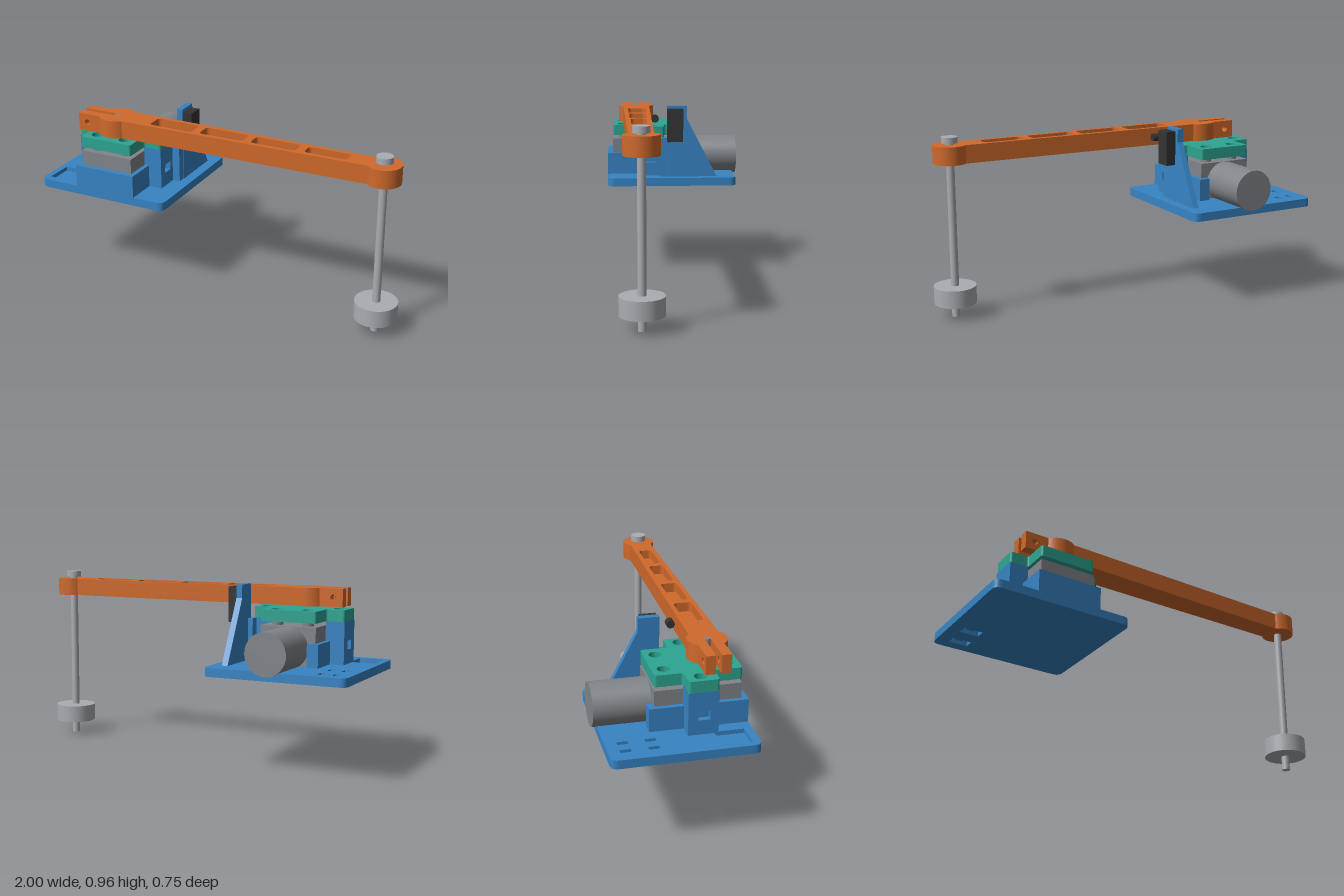
import * as THREE from 'three';

const mat = (name, color) => Object.assign(new THREE.MeshStandardMaterial({ color }), { name });

export function createModel() {
  const root = new THREE.Group();
  root.name = 'armMechanism';
  const blue = mat('blue', 0x3784c4), teal = mat('teal', 0x2da592), orange = mat('orange', 0xcf692b);
  const steel = mat('lightSteel', 0xa9adb2), grey = mat('darkGrey', 0x81858a), black = mat('black', 0x333333);

  const add = (name, geo, m) => {
    const mesh = new THREE.Mesh(geo, m);
    mesh.name = name;
    root.add(mesh);
    return mesh;
  };
  const box = (name, m, x0, x1, y0, y1, z0, z1) =>
    add(name, new THREE.BoxGeometry(x1 - x0, y1 - y0, z1 - z0), m)
      .position.set((x0 + x1) / 2, (y0 + y1) / 2, (z0 + z1) / 2);
  const post = (name, m, r, x, z, y0, y1) =>
    add(name, new THREE.CylinderGeometry(r, r, y1 - y0, 40), m).position.set(x, (y0 + y1) / 2, z);
  const extrude = (shape, depth) =>
    new THREE.ExtrudeGeometry(shape, { depth, bevelEnabled: false, curveSegments: 20 });
  // Plan shapes use (x, -z) and rise along y
  const slab = (name, m, shape, y0, y1, z = 0) => {
    const geo = extrude(shape, y1 - y0).rotateX(-Math.PI / 2);
    const mesh = add(name, geo, m);
    mesh.position.set(0, y0, z);
    return mesh;
  };
  // Side shapes use (-z, y) and run along x
  const sideSlab = (name, m, shape, x0, x1) => {
    add(name, extrude(shape, x1 - x0).rotateY(Math.PI / 2), m).position.x = x0;
  };
  // Polygon with rounded corners; the radius may be 0
  const poly = (pts, r = 0, S = THREE.Shape) => {
    const s = new S(), n = pts.length;
    pts.forEach((p, i) => {
      const P = new THREE.Vector2(...p);
      const toward = q => P.clone().add(new THREE.Vector2(...q).sub(P).setLength(r));
      const a = toward(pts[(i + n - 1) % n]), b = toward(pts[(i + 1) % n]);
      if (i) s.lineTo(a.x, a.y); else s.moveTo(a.x, a.y);
      if (r) s.quadraticCurveTo(P.x, P.y, b.x, b.y);
    });
    s.closePath();
    return s;
  };
  const rect = (x0, x1, y0, y1, r = 0, S) => poly([[x0, y0], [x1, y0], [x1, y1], [x0, y1]], r, S);
  const holeRect = (x0, x1, y0, y1, r = 0) => rect(x0, x1, y0, y1, r, THREE.Path);
  const holeCircle = (x, y, r) => new THREE.Path().absarc(x, y, r, 0, Math.PI * 2, true);

  // Base plate: tie slots joined underneath, shallow pocket on top
  const lower = rect(-1, -0.245, -0.37, 0.35, 0.04);
  const upper = rect(-1, -0.245, -0.37, 0.35, 0.04);
  for (const v of [0.265, 0.13]) {
    lower.holes.push(holeRect(-0.933, -0.832, v - 0.027, v + 0.027));
    for (const x of [-0.92, -0.845]) upper.holes.push(holeRect(x - 0.013, x + 0.013, v - 0.027, v + 0.027));
  }
  upper.holes.push(holeRect(-0.968, -0.835, -0.33, -0.18));
  slab('basePlateLower', blue, lower, 0.495, 0.518);
  slab('basePlateUpper', blue, upper, 0.518, 0.54);

  // Gearbox cradle and towers, mirrored about the gearbox centre
  const cx = -0.595;
  box('cradleFront', blue, -0.77, -0.42, 0.54, 0.66, 0.34, 0.37);
  for (const s of [-1, 1]) {
    const mbox = (name, a, b, y1, z0, z1) => {
      const [x0, x1] = [cx + s * a, cx + s * b].sort((p, q) => p - q);
      box(name, blue, x0, x1, 0.54, y1, z0, z1);
    };
    mbox('cradleSide', 0.15, 0.175, 0.66, 0.2, 0.37);
    mbox('cradleBackSide', 0.15, 0.175, 0.66, -0.09, 0.05);
    mbox('cradleBack', 0.115, 0.175, 0.66, -0.12, -0.09);
    mbox('towerCore', 0.15, 0.22, 0.76, 0.05, 0.2);
    const face = rect(-0.2, -0.05, 0.54, 0.76);
    face.holes.push(holeRect(-0.157, -0.1, 0.615, 0.66));
    const x0 = s > 0 ? cx + 0.22 : cx - 0.25;
    sideSlab('towerFace', blue, face, x0, x0 + 0.03);
  }

  // Switch bracket with sloped gusset
  sideSlab('switchBracket', blue, poly([
    [-0.035, 0.54], [0.245, 0.54], [0.075, 0.87], [0.075, 0.94], [-0.035, 0.94]]), -0.333, -0.3);
  box('bracketFoot', blue, -0.36, -0.303, 0.54, 0.76, 0.0, 0.075);
  box('switchBody', black, -0.3, -0.245, 0.742, 0.926, -0.052, 0.035);
  const roller = add('switchRoller', new THREE.CylinderGeometry(0.021, 0.021, 0.042, 32).rotateZ(Math.PI / 2), black);
  roller.position.set(-0.269, 0.873, 0.105);

  // Gearbox and motor
  box('gearbox', grey, -0.745, -0.445, 0.53, 0.74, -0.09, 0.34);
  const motor = add('motor', new THREE.CylinderGeometry(0.11, 0.11, 0.29, 56).rotateX(Math.PI / 2), grey);
  motor.position.set(cx, 0.63, -0.23);

  // Cross-shaped top plate with counterbored screw holes
  const cross = () => poly([
    [-0.745, -0.34], [-0.445, -0.34], [-0.445, -0.2], [-0.345, -0.2], [-0.345, -0.05], [-0.445, -0.05],
    [-0.445, 0.09], [-0.745, 0.09], [-0.745, -0.05], [-0.845, -0.05], [-0.845, -0.2], [-0.745, -0.2]], 0.014);
  const plateLow = cross(), plateTop = cross();
  for (const [x, z] of [[-0.68, -0.03], [-0.513, -0.03], [-0.68, 0.28], [-0.513, 0.28], [-0.795, 0.12], [-0.395, 0.12]]) {
    plateLow.holes.push(holeCircle(x, -z, 0.016));
    plateTop.holes.push(holeCircle(x, -z, 0.032));
    if (x > -0.7 && x < -0.5) post('spacer', grey, 0.029, x, z, 0.74, 0.76);
  }
  slab('topPlateLower', teal, plateLow, 0.76, 0.79);
  slab('topPlateUpper', teal, plateTop, 0.79, 0.82);

  // Output shaft
  const az = 0.205;
  post('shaftCollar', grey, 0.05, cx, az, 0.74, 0.755);
  post('outputShaft', grey, 0.018, cx, az, 0.74, 0.92);

  // Arm: clamp boss, tapered beam and end boss in one outline
  const armShape = () => {
    const s = new THREE.Shape();
    s.moveTo(-0.673, 0.014);
    s.lineTo(-0.6, 0.014);
    s.lineTo(-0.6, -0.014);
    s.lineTo(-0.673, -0.014);
    s.absarc(cx, 0, 0.1, Math.atan2(-0.063, -0.078), Math.atan2(-0.075, 0.066), false);
    s.absarc(0.887, 0, 0.088, Math.atan2(-0.06, -0.064), Math.atan2(0.06, -0.064), false);
    s.absarc(cx, 0, 0.1, Math.atan2(0.075, 0.066), Math.atan2(0.063, -0.078), false);
    return s;
  };
  const armTop = armShape();
  [[-0.375, -0.13, 0.048], [-0.088, 0.155, 0.044], [0.197, 0.442, 0.04], [0.485, 0.71, 0.036]].forEach(
    ([x0, x1, h]) => armTop.holes.push(holeRect(x0, x1, -h, h, 0.022)));
  slab('armLower', orange, armShape(), 0.825, 0.87, az);
  slab('armUpper', orange, armTop, 0.87, 0.92, az);

  // Clamp ears with cross hole
  for (const z0 of [-0.063, 0.014]) {
    const ear = rect(-0.8, -0.672, 0.825, 0.92);
    ear.holes.push(holeCircle(-0.748, 0.873, 0.016));
    add('clampEar', extrude(ear, 0.049), orange).position.z = az + z0;
  }

  // Hanging rod, head and weight
  post('rod', steel, 0.021, 0.887, az, 0, 0.935);
  post('rodHead', steel, 0.042, 0.887, az, 0.928, 0.96);
  post('weight', steel, 0.111, 0.887, az, 0.076, 0.17);

  return root;
}
